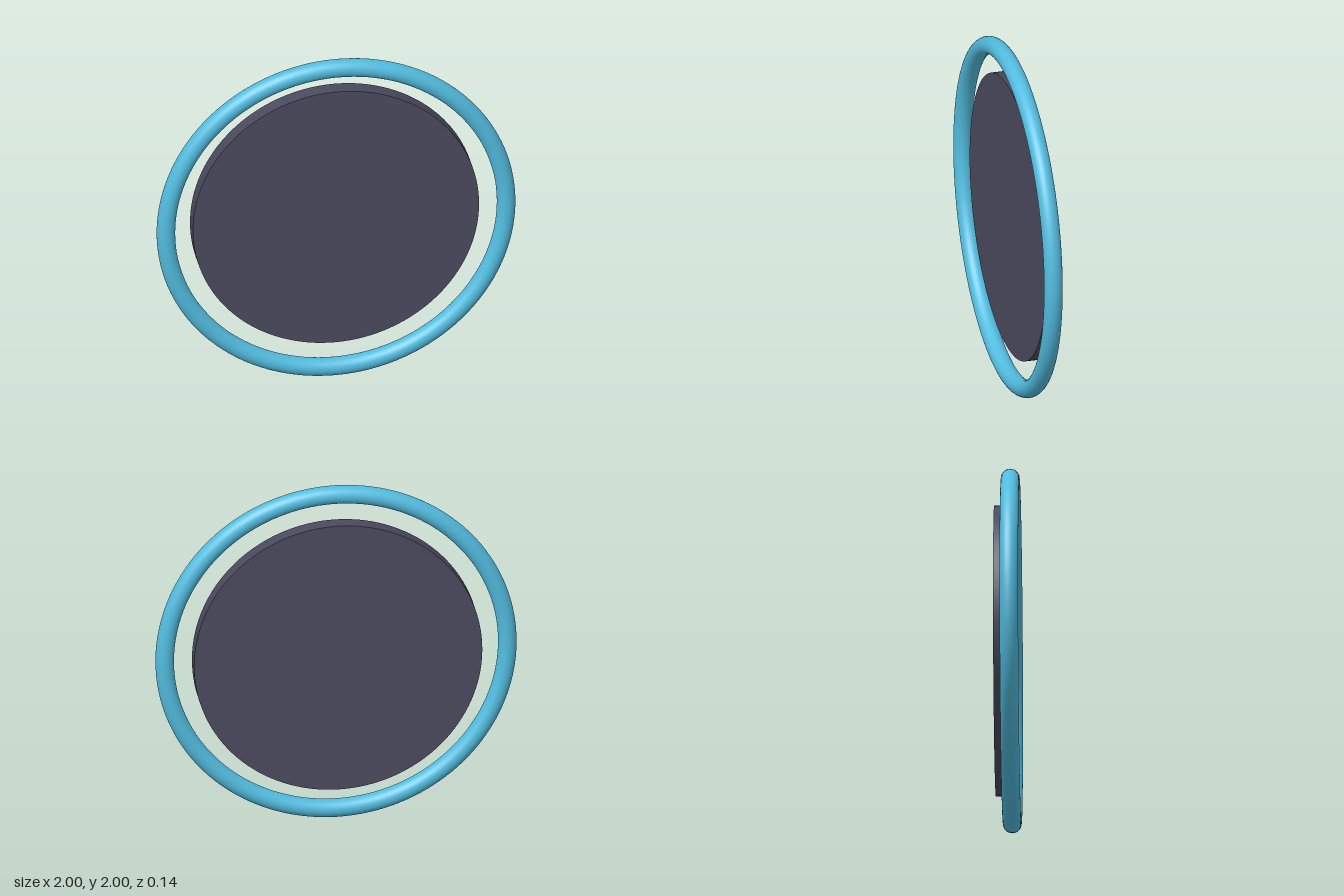
import * as THREE from 'three';

export function createModel() {
  const model = new THREE.Group();
  const ringBlue = new THREE.MeshStandardMaterial({ name: 'ringBlue', color: 0x52bcdf });
  const discSlate = new THREE.MeshStandardMaterial({ name: 'discSlate', color: 0x4b4a5f });

  // Round outer ring, standing upright
  const ring = new THREE.Mesh(new THREE.TorusGeometry(0.949, 0.051, 32, 128), ringBlue);
  ring.name = 'outerRing';
  ring.position.set(0, 1, 0.019);
  model.add(ring);

  // Solid disc floating inside the ring, reaching behind it
  const thickness = 0.09;
  const disc = new THREE.Mesh(new THREE.CylinderGeometry(0.798, 0.798, thickness, 128), discSlate);
  disc.name = 'innerDisc';
  disc.rotation.x = Math.PI / 2;
  disc.position.set(0, 1, -0.07 + thickness / 2);
  model.add(disc);

  return model;
}
